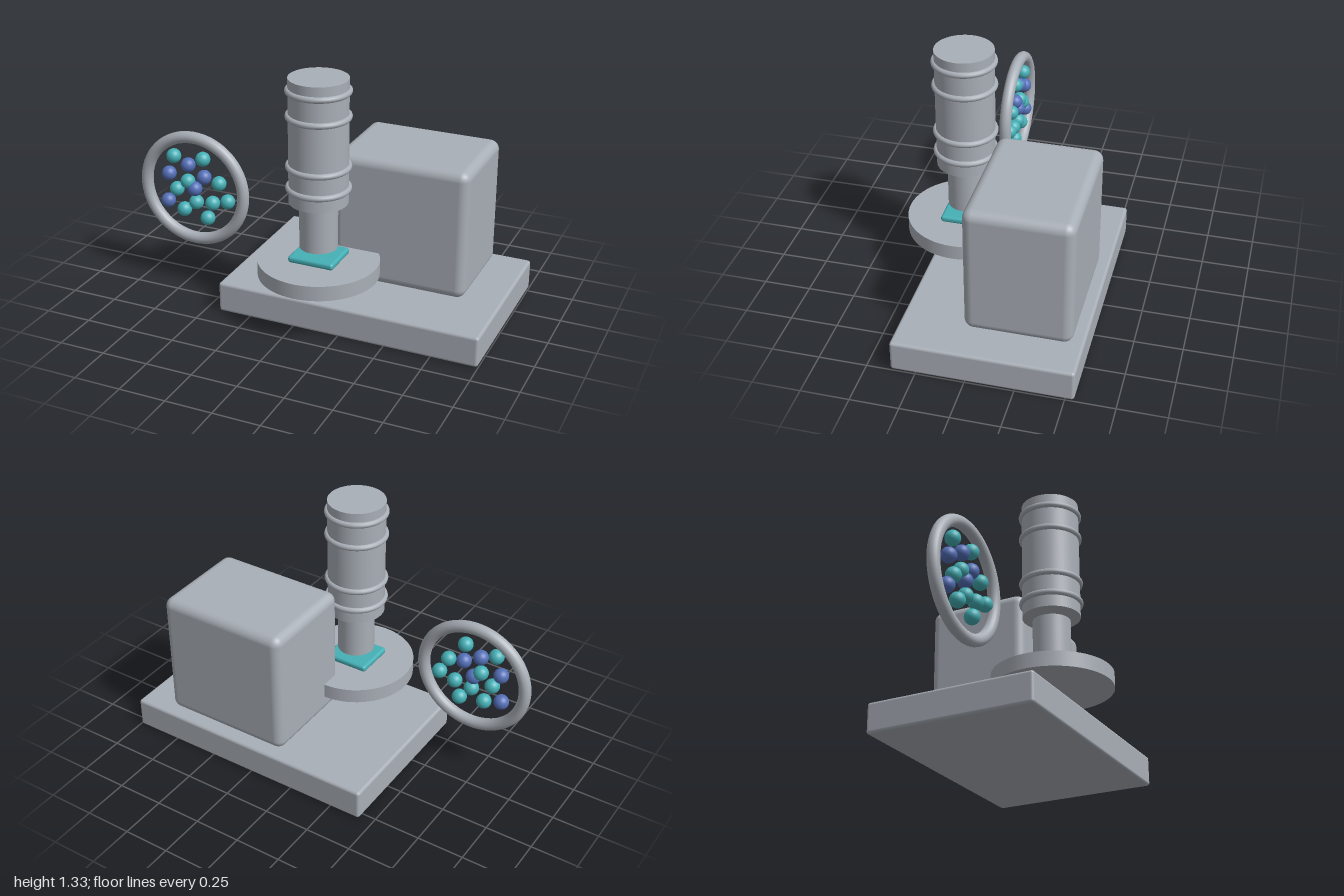
import * as THREE from 'three';
import { RoundedBoxGeometry } from 'three/addons/geometries/RoundedBoxGeometry.js';

const mat = (name, color) => {
  const m = new THREE.MeshStandardMaterial({ color });
  m.name = name;
  return m;
};

export function createModel() {
  const grey = mat('grey', 0xa9afb7);
  const teal = mat('teal', 0x45b0b6);
  const blue = mat('blue', 0x5470b8);
  const root = new THREE.Group();
  root.name = 'microscope';

  const add = (name, geometry, material, x, y, z, parent = root) => {
    const mesh = new THREE.Mesh(geometry, material);
    mesh.name = name;
    mesh.position.set(x, y, z);
    parent.add(mesh);
    return mesh;
  };
  const AX = 0.085, AZ = 0.234; // optical axis

  // Foot and rear housing
  add('base', new RoundedBoxGeometry(1.425, 0.166, 0.925, 4, 0.016), grey, 0.2855, 0.083, -0.083);
  add('housing', new RoundedBoxGeometry(0.725, 0.698, 0.55, 5, 0.05), grey, 0.4475, 0.516, -0.216);

  // Round stage with the specimen slab
  add('stage', new THREE.CylinderGeometry(0.315, 0.315, 0.08, 64), grey, AX, 0.309, AZ);
  add('specimen', new RoundedBoxGeometry(0.25, 0.036, 0.226, 4, 0.015), teal, AX, 0.367, AZ);

  // Column, lens barrel and probe tip
  add('column', new THREE.CylinderGeometry(0.152, 0.152, 0.657, 64), grey, AX, 0.9985, AZ);
  const collar = new THREE.TorusGeometry(0.152, 0.016, 12, 64).rotateX(Math.PI / 2);
  for (const y of [1.262, 1.13, 0.865, 0.749]) add('collar', collar, grey, AX, y, AZ);
  add('lensBarrel', new THREE.CylinderGeometry(0.099, 0.099, 0.23, 48), grey, AX, 0.535, AZ);
  add('probeTip', new THREE.CylinderGeometry(0.014, 0.006, 0.025, 20), teal, AX, 0.409, AZ);

  // Magnified view: a ring filled with particles
  const lens = new THREE.Group();
  lens.name = 'magnifiedView';
  lens.position.set(-0.678, 0.57, 0.15);
  root.add(lens);
  add('ring', new THREE.TorusGeometry(0.29, 0.032, 20, 72), grey, 0, 0, 0, lens);
  const ball = new THREE.SphereGeometry(0.04, 24, 16);
  const tealSpots = [
    [-0.12, 0.168], [0.056, 0.177], [0.148, 0.053], [0.197, -0.043], [0.106, -0.068],
    [0.008, -0.078], [-0.067, -0.132], [0.074, -0.16], [-0.108, -0.02], [-0.04, 0.035],
  ];
  const blueSpots = [[-0.034, 0.13], [-0.153, 0.063], [0.06, 0.074], [0.001, -0.002], [-0.165, -0.097]];
  for (const [x, y] of tealSpots) add('tealParticle', ball, teal, x, y, 0, lens);
  for (const [x, y] of blueSpots) add('blueParticle', ball, blue, x, y, 0, lens);

  return root;
}
